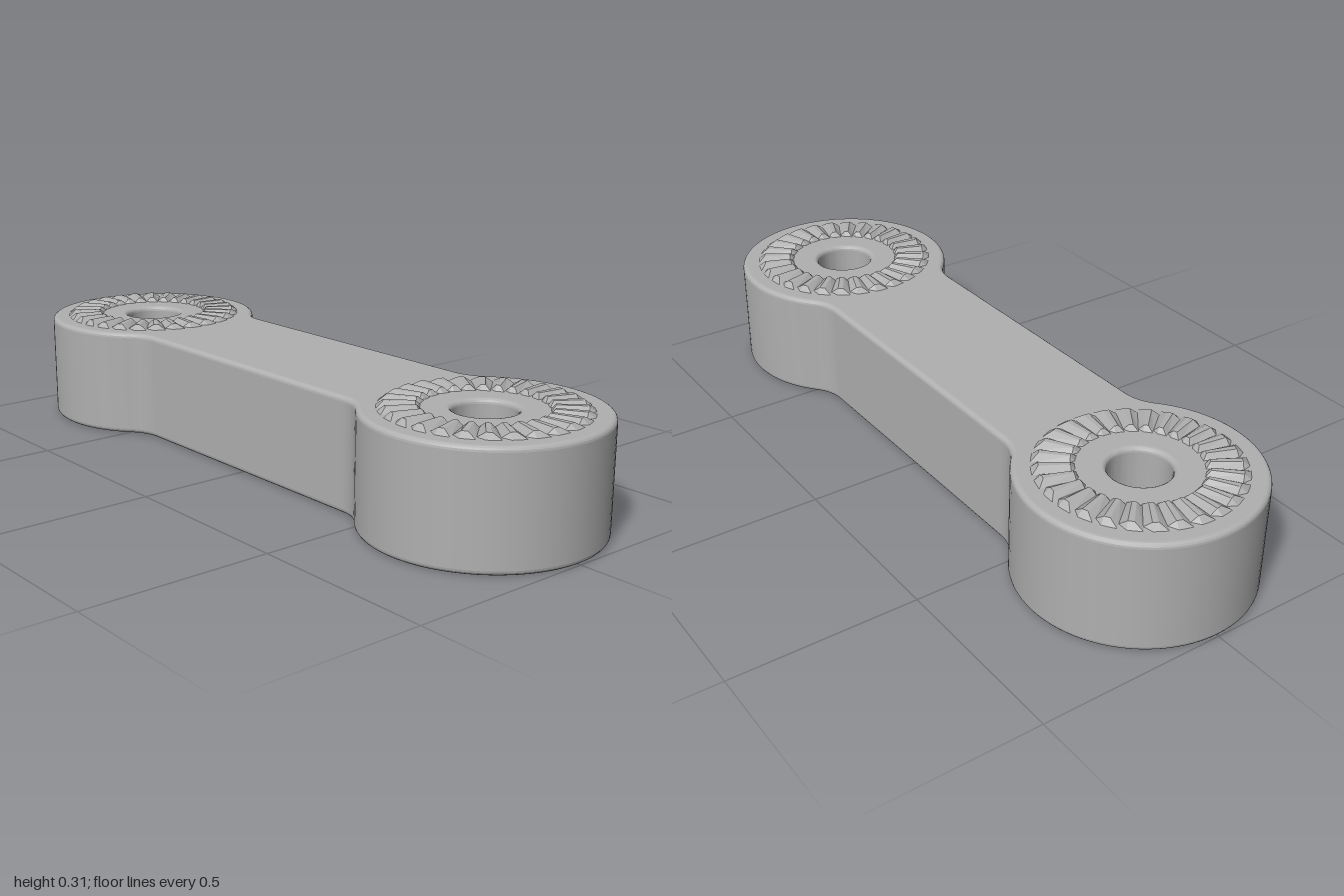
import * as THREE from 'three';
import { toCreasedNormals } from 'three/addons/utils/BufferGeometryUtils.js';

const R = 0.305;          // end boss radius
const C = 1 - R;          // boss centre distance
const NECK = 0.195;       // half width of the bar
const FILLET = 0.12;      // blend between bar and boss
const TOP = 0.299;
const BEVEL = 0.013;
const HOLE = 0.079;
const FLOOR = 0.1;        // bottom of the blind holes
const TEETH = 28;

// Bar with round ends, blended by concave fillets
function bodyGeometry() {
  const fx = NECK + FILLET;
  const dz = Math.sqrt((R + FILLET) ** 2 - fx ** 2);
  const fy = C - dz;
  const a = Math.atan2(-dz, fx);
  const shape = new THREE.Shape();
  shape.absarc(0, C, R, a, Math.PI - a, false);
  shape.absarc(-fx, fy, FILLET, -a, 0, true);
  shape.absarc(-fx, -fy, FILLET, 0, a, true);
  shape.absarc(0, -C, R, Math.PI + a, 2 * Math.PI - a, false);
  shape.absarc(fx, -fy, FILLET, Math.PI - a, Math.PI, true);
  shape.absarc(fx, fy, FILLET, Math.PI, Math.PI + a, true);
  for (const s of [-1, 1]) {
    shape.holes.push(new THREE.Path().absarc(0, s * C, HOLE, 0, 2 * Math.PI, true));
  }
  const geometry = new THREE.ExtrudeGeometry(shape, {
    depth: TOP - 2 * BEVEL, curveSegments: 32,
    bevelThickness: BEVEL, bevelSize: BEVEL, bevelOffset: -BEVEL, bevelSegments: 4,
  });
  geometry.translate(0, 0, BEVEL).rotateX(-Math.PI / 2);
  return toCreasedNormals(geometry, 0.18);
}

// Ring of radial teeth with sloped inner and outer ends
function teethGeometry() {
  const radial = [[0.153, 0], [0.164, 1], [0.24, 1], [0.257, 0]];
  const across = [[0, 0], [0.36, 1], [0.64, 1], [1, 0]];
  const positions = [];
  const point = (tooth, i, j) => {
    const [r, rise] = radial[i];
    const [f, peak] = across[j];
    const t = (tooth + f) / TEETH * Math.PI * 2;
    const y = TOP + 0.001 * rise + 0.012 * rise * peak;
    return [r * Math.cos(t), y, r * Math.sin(t)];
  };
  for (let k = 0; k < TEETH; k++) {
    for (let i = 0; i < 3; i++) {
      for (let j = 0; j < 3; j++) {
        const p = point(k, i, j), q = point(k, i + 1, j);
        const s = point(k, i + 1, j + 1), u = point(k, i, j + 1);
        positions.push(...p, ...u, ...q, ...q, ...u, ...s);
      }
    }
  }
  const geometry = new THREE.BufferGeometry();
  geometry.setAttribute('position', new THREE.Float32BufferAttribute(positions, 3));
  geometry.computeVertexNormals();
  return geometry;
}

export function createModel() {
  const metal = new THREE.MeshStandardMaterial({ color: 0xb0b0b0 });
  metal.name = 'grey metal';
  const model = new THREE.Group();
  model.name = 'serratedLinkArm';

  const add = (name, geometry, z = 0) => {
    const mesh = new THREE.Mesh(geometry, metal);
    mesh.name = name;
    mesh.position.z = z;
    model.add(mesh);
  };

  add('armBody', bodyGeometry());
  const teeth = teethGeometry();
  // Plug closes each hole from below
  const plug = new THREE.CylinderGeometry(HOLE + 0.02, HOLE + 0.02, FLOOR, 48);
  plug.translate(0, FLOOR / 2, 0);
  for (const [end, z] of [['front', C], ['back', -C]]) {
    add(end + 'Teeth', teeth, z);
    add(end + 'HoleFloor', plug, z);
  }
  return model;
}
